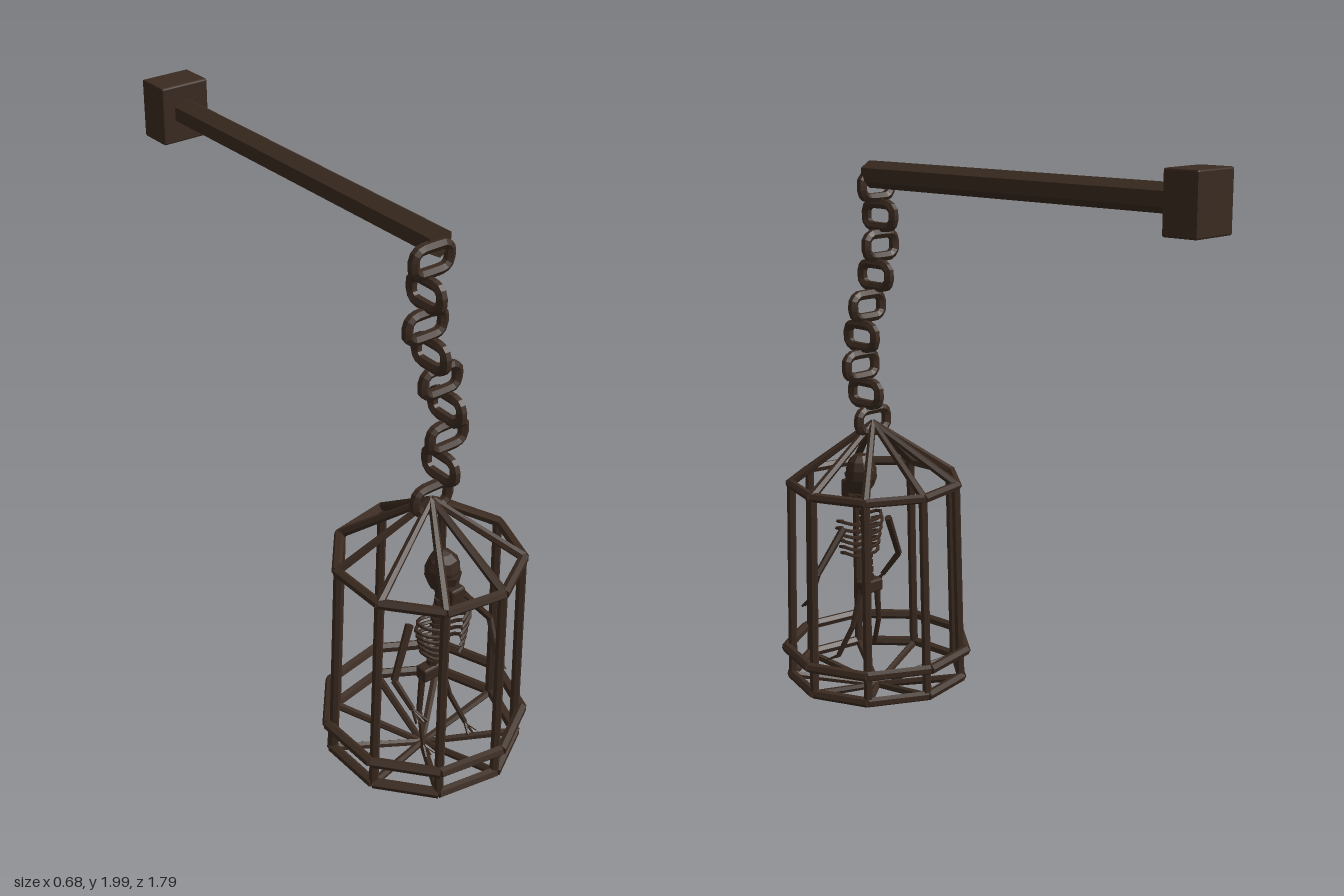
import * as THREE from 'three';
import { RoundedBoxGeometry } from 'three/addons/geometries/RoundedBoxGeometry.js';

const iron = new THREE.MeshStandardMaterial({ color: 0x3b2b21 });
iron.name = 'darkIron';
const bone = new THREE.MeshStandardMaterial({ color: 0x38281e });
bone.name = 'darkBone';
const CZ = 0.55; // cage and chain axis
const V = (x, y, z) => new THREE.Vector3(x, y, z);

// faceted mesh
function add(parent, name, geo, mat) {
  const g = geo.index ? geo.toNonIndexed() : geo;
  g.computeVertexNormals();
  const m = new THREE.Mesh(g, mat);
  m.name = name;
  parent.add(m);
  return m;
}

// straight bar between two points
function rod(parent, name, a, b, r0, r1 = r0, mat = iron, sides = 6) {
  const d = b.clone().sub(a);
  const m = add(parent, name, new THREE.CylinderGeometry(r1, r0, d.length(), sides), mat);
  m.position.copy(a).add(b).multiplyScalar(0.5);
  m.quaternion.setFromUnitVectors(V(0, 1, 0), d.normalize());
  return m;
}

function group(parent, name) {
  const g = new THREE.Group();
  g.name = name;
  parent.add(g);
  return g;
}

function buildBracket(root) {
  const g = group(root, 'bracket');
  add(g, 'wallBlock', new RoundedBoxGeometry(0.18, 0.2, 0.125, 1, 0.006), iron).position.set(-0.01, 1.9, -0.833);
  const beam = add(g, 'beam', new THREE.CylinderGeometry(0.047, 0.047, 1.33, 6), iron);
  beam.rotation.x = Math.PI / 2;
  beam.position.set(-0.012, 1.904, -0.115);
}

function buildChain(root) {
  const g = group(root, 'chain');
  // chunky octagonal links, alternately turned
  const pts = [[0.066, 0.02], [0.043, 0.039], [-0.043, 0.039], [-0.066, 0.02],
    [-0.066, -0.02], [-0.043, -0.039], [0.043, -0.039], [0.066, -0.02]].map(([x, y]) => V(x, y, 0));
  const curve = new THREE.CatmullRomCurve3(pts, true, 'catmullrom', 0.25);
  const xs = [-0.042, -0.058, -0.058, -0.032, 0.01, 0.04, 0.046, 0.025, -0.007];
  xs.forEach((x, i) => {
    const m = add(g, 'chainLink', new THREE.TubeGeometry(curve, 24, 0.018, 6, true), iron);
    m.position.set(x, 1.862 - i * 0.1035, CZ);
    if (i % 2) m.rotation.y = Math.PI / 2;
  });
}

function buildCage(root) {
  const g = group(root, 'cage');
  const N = 9;
  const at = (r, y, k) => {
    const t = k * Math.PI * 2 / N;
    return V(-0.008 + r * Math.cos(t), y, CZ - 0.005 - r * Math.sin(t));
  };
  const apex = V(-0.007, 1.025, CZ), base = V(-0.007, 0.022, CZ);
  for (let k = 0; k < N; k++) {
    rod(g, 'upright', at(0.314, 0.085, k), at(0.3, 0.815, k), 0.016);
    rod(g, 'roofBar', at(0.303, 0.812, k), apex, 0.016, 0.012);
    rod(g, 'floorBar', at(0.316, 0.08, k), base, 0.014, 0.012);
    rod(g, 'topRing', at(0.306, 0.81, k), at(0.306, 0.81, k + 1), 0.017);
    rod(g, 'middleRing', at(0.336, 0.187, k), at(0.336, 0.187, k + 1), 0.018);
    rod(g, 'bottomRing', at(0.319, 0.083, k), at(0.319, 0.083, k + 1), 0.018);
  }
}

function buildSkeleton(root) {
  const g = group(root, 'skeleton');
  const CX = -0.03;

  // skull
  const skull = group(g, 'skull');
  const cran = add(skull, 'cranium', new THREE.SphereGeometry(1, 9, 7), bone);
  cran.scale.set(0.06, 0.078, 0.058);
  cran.position.set(CX, 0.815, 0.642);
  add(skull, 'face', new THREE.CylinderGeometry(0.05, 0.036, 0.075, 7), bone).position.set(CX, 0.78, 0.658);
  add(skull, 'jaw', new RoundedBoxGeometry(0.056, 0.07, 0.042, 1, 0.008), bone).position.set(CX, 0.75, 0.702);

  // spine with vertebrae
  const spine = new THREE.CatmullRomCurve3([
    V(CX, 0.75, 0.645), V(CX - 0.006, 0.67, 0.636), V(CX, 0.55, 0.616), V(CX + 0.003, 0.4, 0.606)]);
  add(g, 'spine', new THREE.TubeGeometry(spine, 12, 0.01, 5), bone);
  for (let i = 1; i < 13; i++) {
    const v = add(g, 'vertebra', new THREE.CylinderGeometry(0.019, 0.019, 0.02, 6), bone);
    v.position.copy(spine.getPointAt(i / 13));
  }

  // pelvis
  add(g, 'pelvis', new RoundedBoxGeometry(0.1, 0.05, 0.048, 1, 0.008), bone).position.set(-0.027, 0.392, 0.607);

  for (const s of [-1, 1]) {
    // ribs sweep from the spine round to the chest
    for (let i = 0; i < 6; i++) {
      const y = 0.63 - i * 0.025, w = 0.108 - Math.abs(i - 1) * 0.007;
      const rib = new THREE.CatmullRomCurve3([
        V(CX, y, 0.622), V(CX + s * w * 0.65, y + 0.008, 0.618), V(CX + s * w, y + 0.022, 0.65),
        V(CX + s * w * 0.8, y + 0.012, 0.685), V(CX + s * w * 0.4, y, 0.702)]);
      add(g, 'rib', new THREE.TubeGeometry(rib, 9, 0.0065, 5), bone);
    }

    // arms
    const [sh, el, wr] = s < 0
      ? [V(-0.135, 0.63, 0.612), V(-0.22, 0.465, 0.645), V(-0.192, 0.375, 0.705)]
      : [V(0.1, 0.64, 0.6), V(0.215, 0.495, 0.615), V(0.2, 0.385, 0.675)];
    const arm = group(g, s < 0 ? 'rightArm' : 'leftArm');
    rod(arm, 'upperArm', sh, el, 0.014, 0.012, bone);
    rod(arm, 'forearm', el, wr, 0.012, 0.01, bone);
    for (let i = -1.5; i < 2; i++) {
      rod(arm, 'finger', wr, wr.clone().add(V(-s * 0.012 + i * 0.012, -0.04, 0.035 + i * 0.004)), 0.005, 0.004, bone, 4);
    }

    // legs
    const hip = V(-0.027 + s * 0.04, 0.385, 0.607);
    const knee = V(s < 0 ? -0.082 : 0.05, 0.25, 0.615);
    const ankle = V(s < 0 ? -0.095 : 0.09, 0.135, 0.655);
    const leg = group(g, s < 0 ? 'rightLeg' : 'leftLeg');
    rod(leg, 'thigh', hip, knee, 0.012, 0.01, bone);
    rod(leg, 'shin', knee, ankle, 0.01, 0.009, bone);
    for (let i = -1; i < 2; i++) {
      rod(leg, 'toe', ankle, ankle.clone().add(V(i * 0.02, -0.02, 0.04)), 0.006, 0.004, bone, 4);
    }
  }
}

export function createModel() {
  const root = new THREE.Group();
  root.name = 'hangingCage';
  buildBracket(root);
  buildChain(root);
  buildCage(root);
  buildSkeleton(root);
  return root;
}
